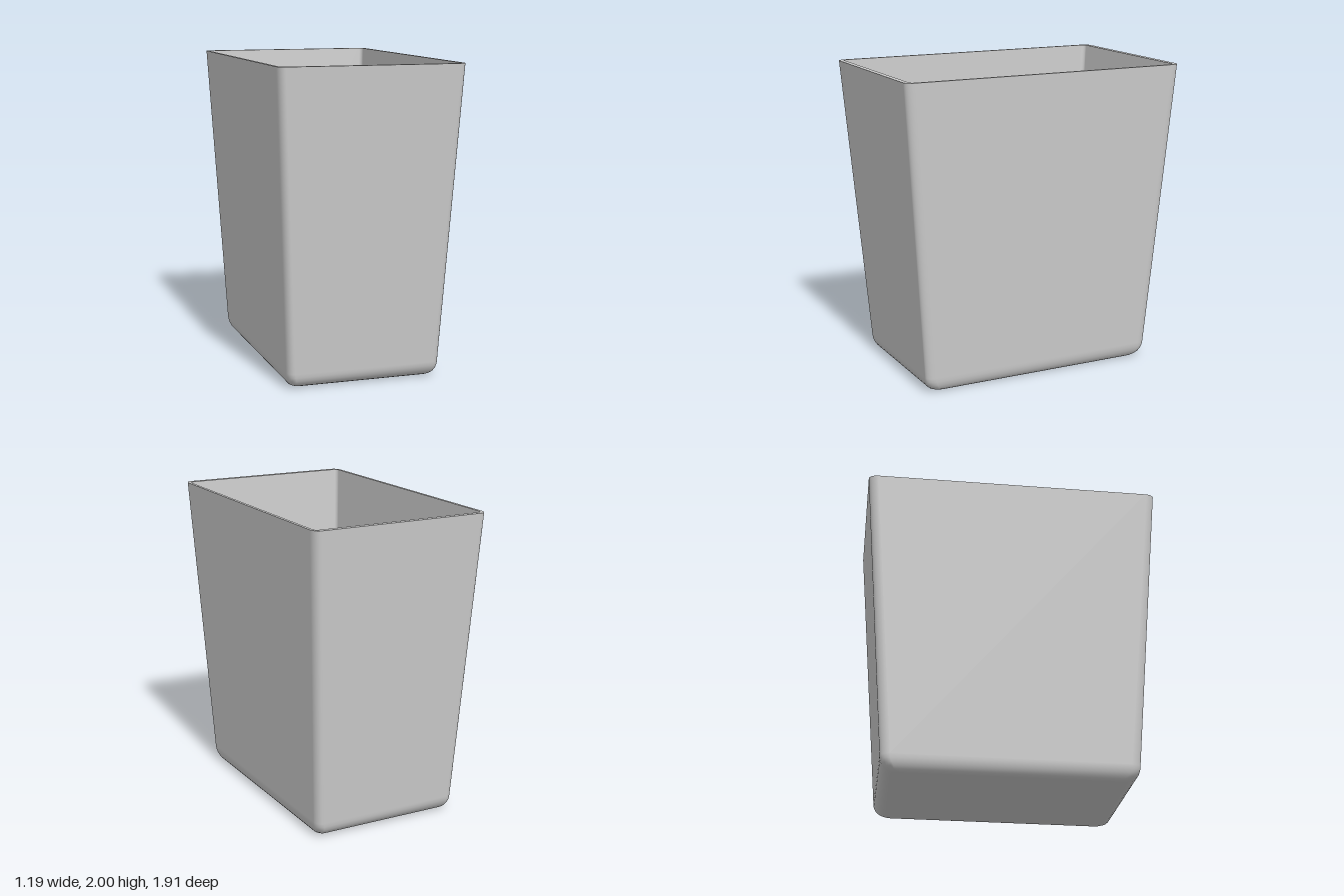
import * as THREE from 'three';

const CORNER_STEPS = 6;

// Rounded rectangle ring: half sizes hx, hz at height y, corner radii rx, rz
function ring([hx, hz, y, rx, rz]) {
  const points = [];
  for (let q = 0; q < 4; q++) {
    const sx = q === 0 || q === 3 ? 1 : -1;
    const sz = q < 2 ? 1 : -1;
    for (let i = 0; i <= CORNER_STEPS; i++) {
      const a = (q + i / CORNER_STEPS) * Math.PI / 2;
      points.push(sx * (hx - rx) + rx * Math.cos(a), y, sz * (hz - rz) + rz * Math.sin(a));
    }
  }
  return points;
}

// Skin a list of rings into one smooth surface
function loft(name, sections, material) {
  const n = 4 * (CORNER_STEPS + 1);
  const index = [];
  for (let j = 0; j < sections.length - 1; j++) {
    for (let i = 0; i < n; i++) {
      const a = j * n + i, b = j * n + (i + 1) % n;
      index.push(a, a + n, b, b, a + n, b + n);
    }
  }
  const geometry = new THREE.BufferGeometry();
  geometry.setAttribute('position', new THREE.Float32BufferAttribute(sections.flatMap(ring), 3));
  geometry.setIndex(index);
  geometry.computeVertexNormals();
  const mesh = new THREE.Mesh(geometry, material);
  mesh.name = name;
  return mesh;
}

// Quarter-round sections from a floor edge up to a wall edge
function fillet(hx, hz, y, dx, dz, dy, rx, rz, steps = 6) {
  const sections = [];
  for (let i = 0; i <= steps; i++) {
    const a = i / steps * Math.PI / 2;
    const inset = 1 - Math.sin(a);
    sections.push([hx - dx * inset, hz - dz * inset, y + dy * (1 - Math.cos(a)), rx, rz]);
  }
  return sections;
}

export function createModel() {
  const group = new THREE.Group();
  group.name = 'wasteBin';
  const material = new THREE.MeshStandardMaterial({ color: 0xcccccc });

  const outerTop = [0.597, 0.955, 2, 0.045, 0.06];
  const innerTop = [0.577, 0.92, 2, 0.025, 0.03];

  // Outer shell: underside, rounded bottom edge, tapered walls
  group.add(loft('outerShell', [
    [0, 0, 0, 0, 0],
    ...fillet(0.502, 0.806, 0, 0.06, 0.09, 0.1, 0.045, 0.06),
    outerTop,
  ], material));

  // Flat top rim
  group.add(loft('rim', [outerTop, innerTop], material));

  // Inner lining: tapered walls, rounded inside edge, floor
  group.add(loft('innerLining', [
    innerTop,
    ...fillet(0.481, 0.77, 0.04, 0.025, 0.03, 0.05, 0.025, 0.03).reverse(),
    [0, 0, 0.04, 0, 0],
  ], material));

  return group;
}
